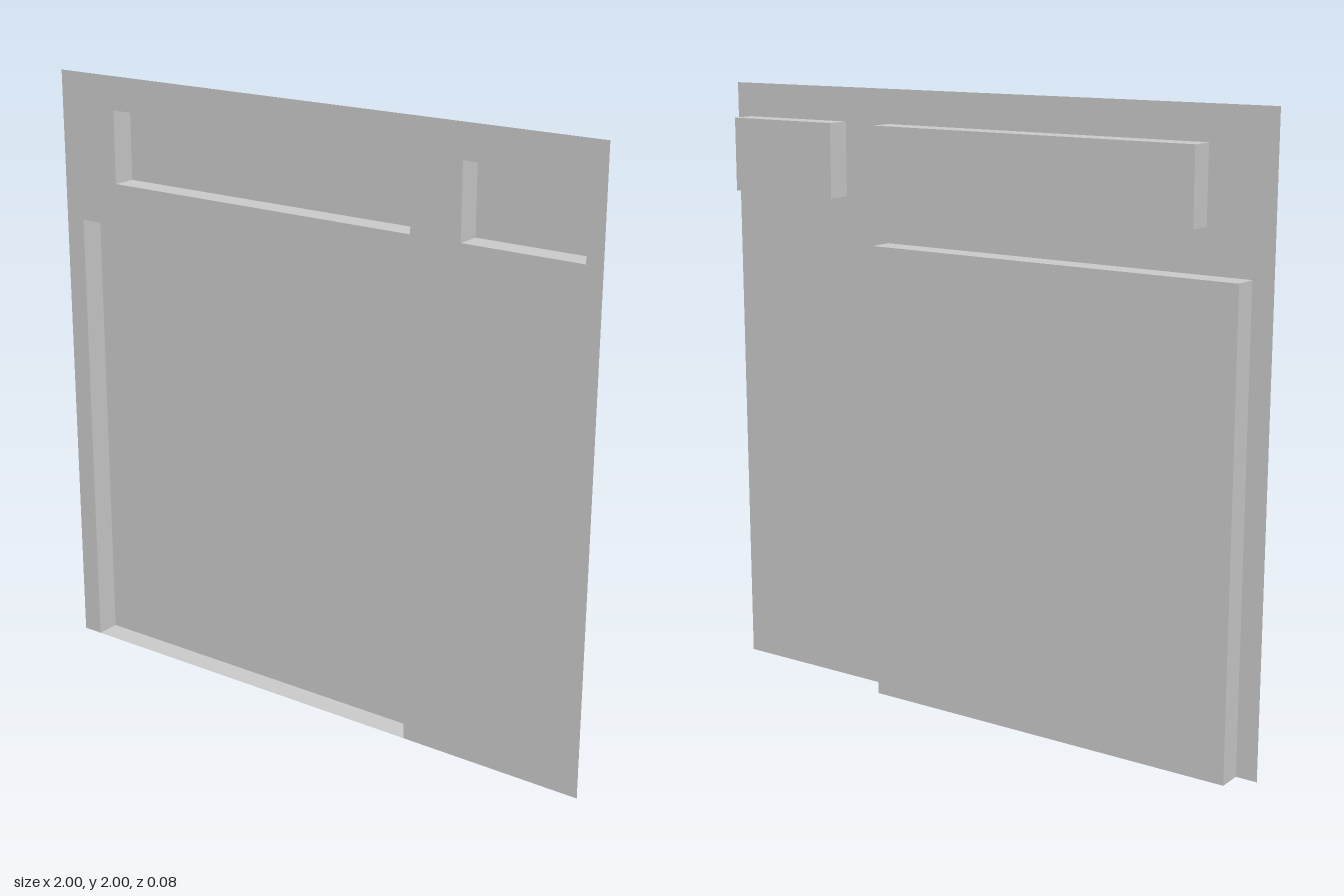
import * as THREE from 'three';

const DEPTH = 0.08;
const FRONT = DEPTH / 2;

// Openings pressed into the wall: left, right, bottom, top
const openings = {
  doorRecess: [-0.93, 0.372, 0, 1.51],
  wideWindowRecess: [-0.78, 0.366, 1.65, 1.89],
  smallWindowRecess: [0.54, 0.945, 1.65, 1.89],
};

const material = new THREE.MeshStandardMaterial({ color: 0xcccccc, side: THREE.DoubleSide });

function rectangle(path, [l, r, b, t]) {
  path.moveTo(l, b);
  path.lineTo(l, t);
  path.lineTo(r, t);
  path.lineTo(r, b);
  path.closePath();
  return path;
}

// Thin-walled tray, open towards the front
function recess(name, [l, r, b, t]) {
  const geometry = new THREE.BoxGeometry(r - l, t - b, DEPTH);
  const index = Array.from(geometry.index.array);
  index.splice(24, 6); // drop the front face
  geometry.setIndex(index);
  geometry.clearGroups();
  const mesh = new THREE.Mesh(geometry, material);
  mesh.position.set((l + r) / 2, (b + t) / 2, 0);
  mesh.name = name;
  return mesh;
}

export function createModel() {
  const group = new THREE.Group();
  group.name = 'wallPanel';

  // Flat wall sheet, notched around the door
  const [dl, dr, db, dt] = openings.doorRecess;
  const outline = new THREE.Shape();
  outline.moveTo(-1, 0);
  outline.lineTo(dl, db);
  outline.lineTo(dl, dt);
  outline.lineTo(dr, dt);
  outline.lineTo(dr, db);
  outline.lineTo(1, 0);
  outline.lineTo(1, 2);
  outline.lineTo(-1, 2);
  outline.closePath();
  for (const key of ['wideWindowRecess', 'smallWindowRecess']) {
    outline.holes.push(rectangle(new THREE.Path(), openings[key]));
  }
  const wall = new THREE.Mesh(new THREE.ShapeGeometry(outline), material);
  wall.position.z = FRONT;
  wall.name = 'wallSheet';
  group.add(wall);

  // Door and window recesses
  for (const [name, bounds] of Object.entries(openings)) group.add(recess(name, bounds));

  return group;
}
